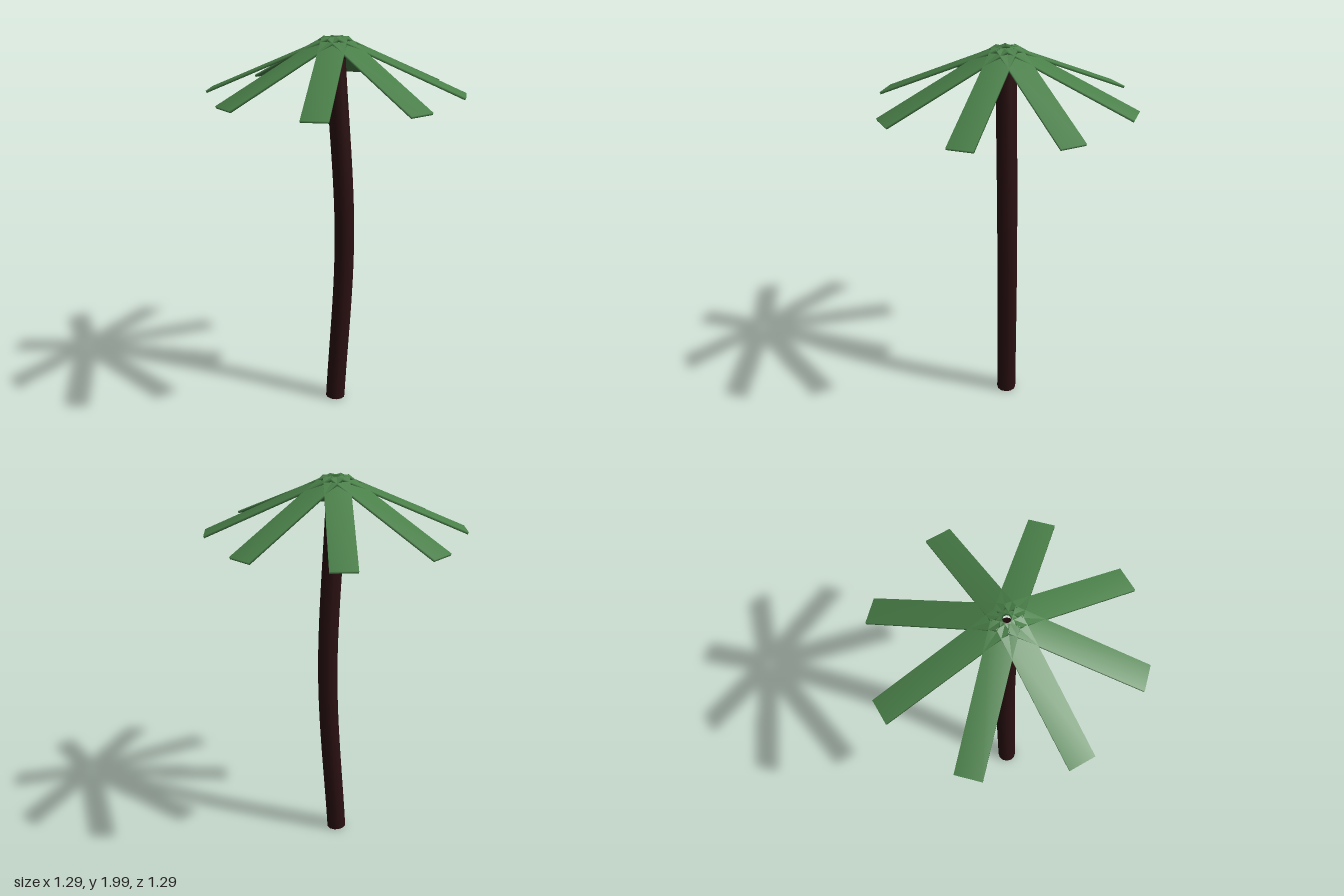
import * as THREE from 'three';
import { mergeVertices } from 'three/addons/utils/BufferGeometryUtils.js';

const FROND_COUNT = 8;

export function createModel() {
  const palm = new THREE.Group();
  palm.name = 'palmTree';

  const bark = new THREE.MeshStandardMaterial({ color: 0x2b1011, side: THREE.DoubleSide });
  bark.name = 'darkBark';
  const leaf = new THREE.MeshStandardMaterial({ color: 0x4a8049 });
  leaf.name = 'leafGreen';

  // Trunk: a gently bowed, open-ended tube
  const path = new THREE.CatmullRomCurve3([
    new THREE.Vector3(0, 0.005, 0),
    new THREE.Vector3(0.047, 0.95, 0.018),
    new THREE.Vector3(0, 1.89, 0),
  ]);
  const trunk = new THREE.Mesh(new THREE.TubeGeometry(path, 24, 0.052, 12, false), bark);
  trunk.name = 'trunk';
  palm.add(trunk);

  // Frond: a thin plank with shared, softened corners, sloping down and outward
  const inner = new THREE.Vector2(0.02, 1.991);
  const tip = new THREE.Vector2(0.645, 1.719);
  const slope = Math.atan2(tip.y - inner.y, tip.x - inner.x);
  let plank = new THREE.BoxGeometry(inner.distanceTo(tip), 0.012, 0.129);
  plank.deleteAttribute('normal');
  plank.deleteAttribute('uv');
  plank = mergeVertices(plank);
  plank.rotateZ(slope);
  plank.translate((inner.x + tip.x) / 2, (inner.y + tip.y) / 2, 0);
  plank.computeVertexNormals();

  // Crown: fronds in a ring around a small central gap
  const crown = new THREE.Group();
  crown.name = 'crown';
  for (let i = 0; i < FROND_COUNT; i++) {
    const frond = new THREE.Mesh(plank, leaf);
    frond.name = `frond${i + 1}`;
    frond.rotation.y = (i / FROND_COUNT) * Math.PI * 2;
    crown.add(frond);
  }
  palm.add(crown);

  return palm;
}
